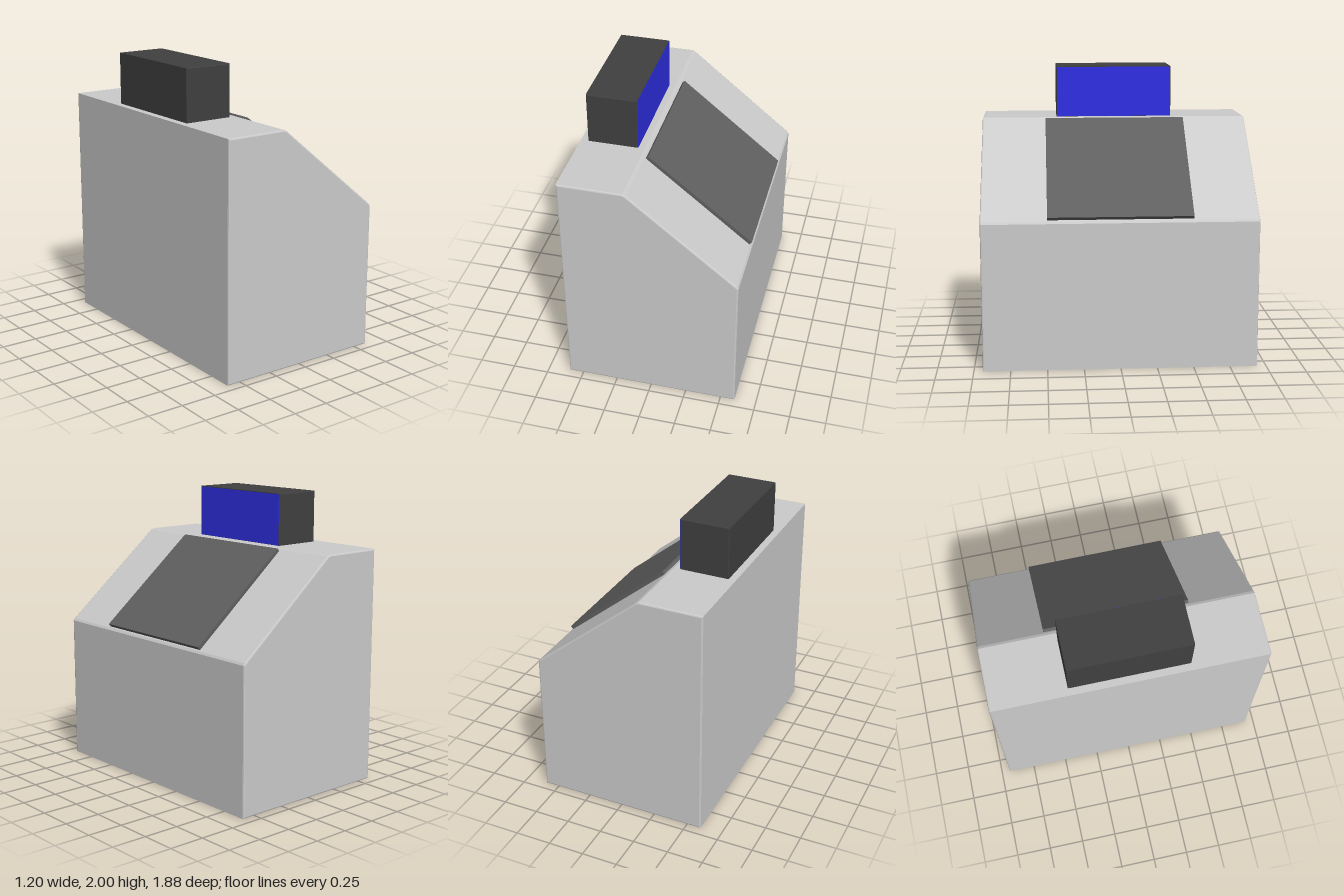
import * as THREE from 'three';

function material(color) {
  return new THREE.MeshStandardMaterial({ color });
}

// Extrudes an outline along z, centred, with a thin bevel kept inside its size.
function prism(points, depth, bevel) {
  const shape = new THREE.Shape(points.map(([x, y]) => new THREE.Vector2(x, y)));
  const geometry = new THREE.ExtrudeGeometry(shape, {
    depth: depth - 2 * bevel,
    bevelSize: bevel,
    bevelThickness: bevel,
    bevelOffset: -bevel,
    bevelSegments: 2,
  });
  return geometry.translate(0, 0, -depth / 2 + bevel);
}

function addPart(group, name, geometry, color) {
  const mesh = new THREE.Mesh(geometry, material(color));
  mesh.name = name;
  group.add(mesh);
  return mesh;
}

export function createModel() {
  const model = new THREE.Group();
  model.name = 'console';

  // Cabinet with a sloping top, its crest and front lip slightly chamfered
  const profile = [
    [-0.6, 0], [0.6, 0], [0.6, 1.015], [0.59, 1.03],
    [-0.14, 1.63], [-0.16, 1.64], [-0.6, 1.64],
  ];
  addPart(model, 'cabinet', prism(profile, 1.88, 0.01), 0xcccccc);

  // Dark panel lying on the slope
  const panel = addPart(model, 'slopedPanel', new THREE.BoxGeometry(0.92, 0.027, 0.985), 0x606060);
  panel.position.set(0.233, 1.338, 0);
  panel.rotation.z = -Math.atan2(0.582, 0.713);

  // Display housing on the flat top
  const housing = [[-0.55, 1.63], [-0.205, 1.63], [-0.205, 2], [-0.55, 2]];
  addPart(model, 'displayHousing', prism(housing, 0.825, 0.006), 0x404040);

  // Blue screen covering the housing's +x face
  const screen = addPart(model, 'displayScreen', new THREE.BoxGeometry(0.003, 0.354, 0.815), 0x3030e6);
  screen.position.set(-0.2045, 1.818, 0);

  return model;
}
